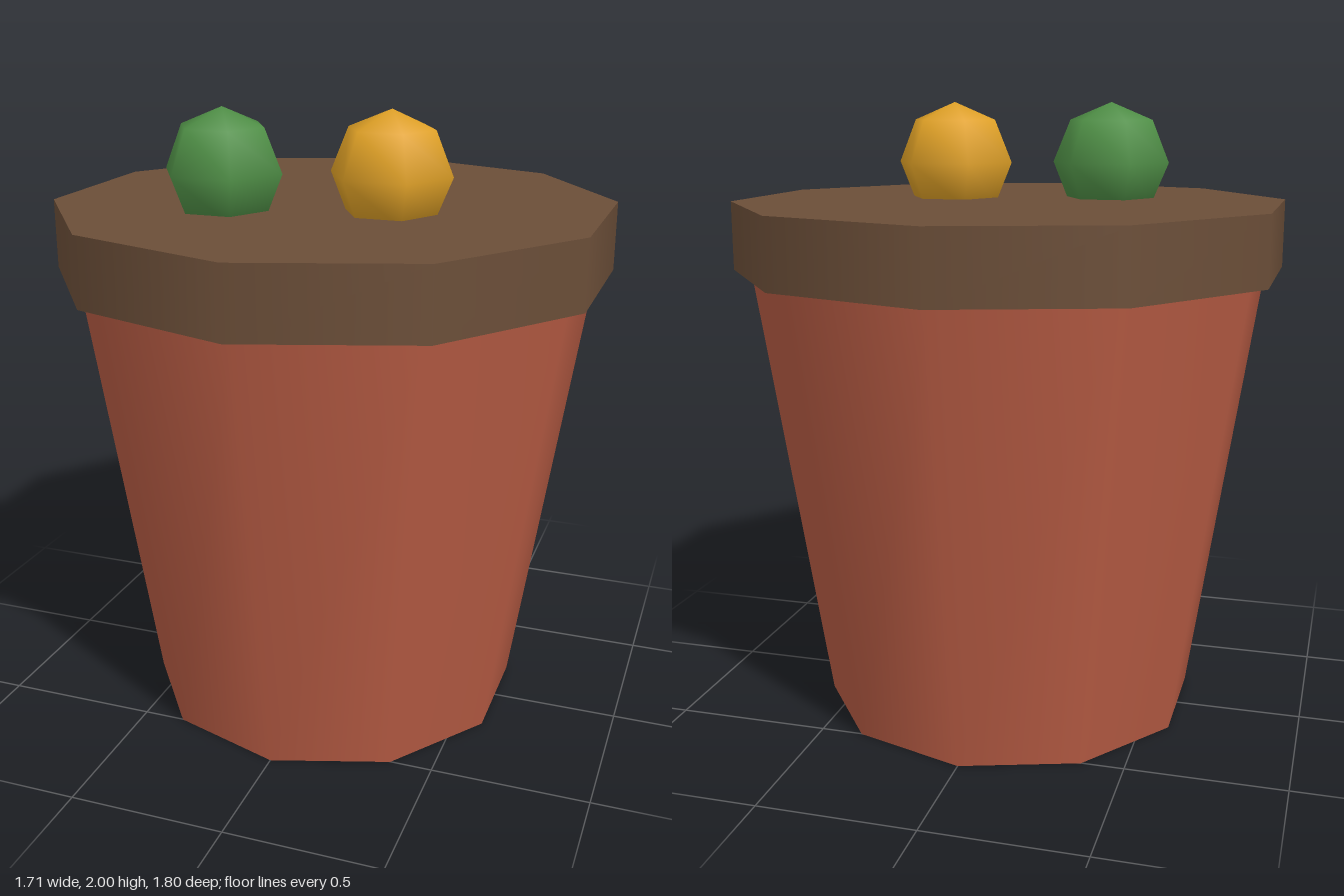
import * as THREE from 'three';

function material(name, color) {
  const m = new THREE.MeshStandardMaterial({ color });
  m.name = name;
  return m;
}

export function createModel() {
  const model = new THREE.Group();
  model.name = 'plantPot';

  const terracotta = material('terracotta', 0xb85c44);
  const soilBrown = material('soilBrown', 0x6b4e38);
  const leafGreen = material('leafGreen', 0x4f8f46);
  const amber = material('amber', 0xe0a126);

  const add = (name, geometry, mat, x, y, z) => {
    const mesh = new THREE.Mesh(geometry, mat);
    mesh.name = name;
    mesh.position.set(x, y, z);
    model.add(mesh);
  };

  // Tapered ten-sided pot with a corner facing the front
  add('pot', new THREE.CylinderGeometry(0.845, 0.62, 1.47, 10), terracotta, 0, 0.735, 0);

  // Overhanging rim, closed on top as the soil surface
  add('rim', new THREE.CylinderGeometry(0.9, 0.9, 0.22, 10), soilBrown, 0, 1.58, 0);

  // Two low-poly buds half sunk in the soil
  const bud = new THREE.SphereGeometry(0.195, 6, 4);
  add('greenBud', bud, leafGreen, -0.283, 1.805, 0.225);
  add('amberBud', bud, amber, 0.222, 1.805, 0.112);

  return model;
}
